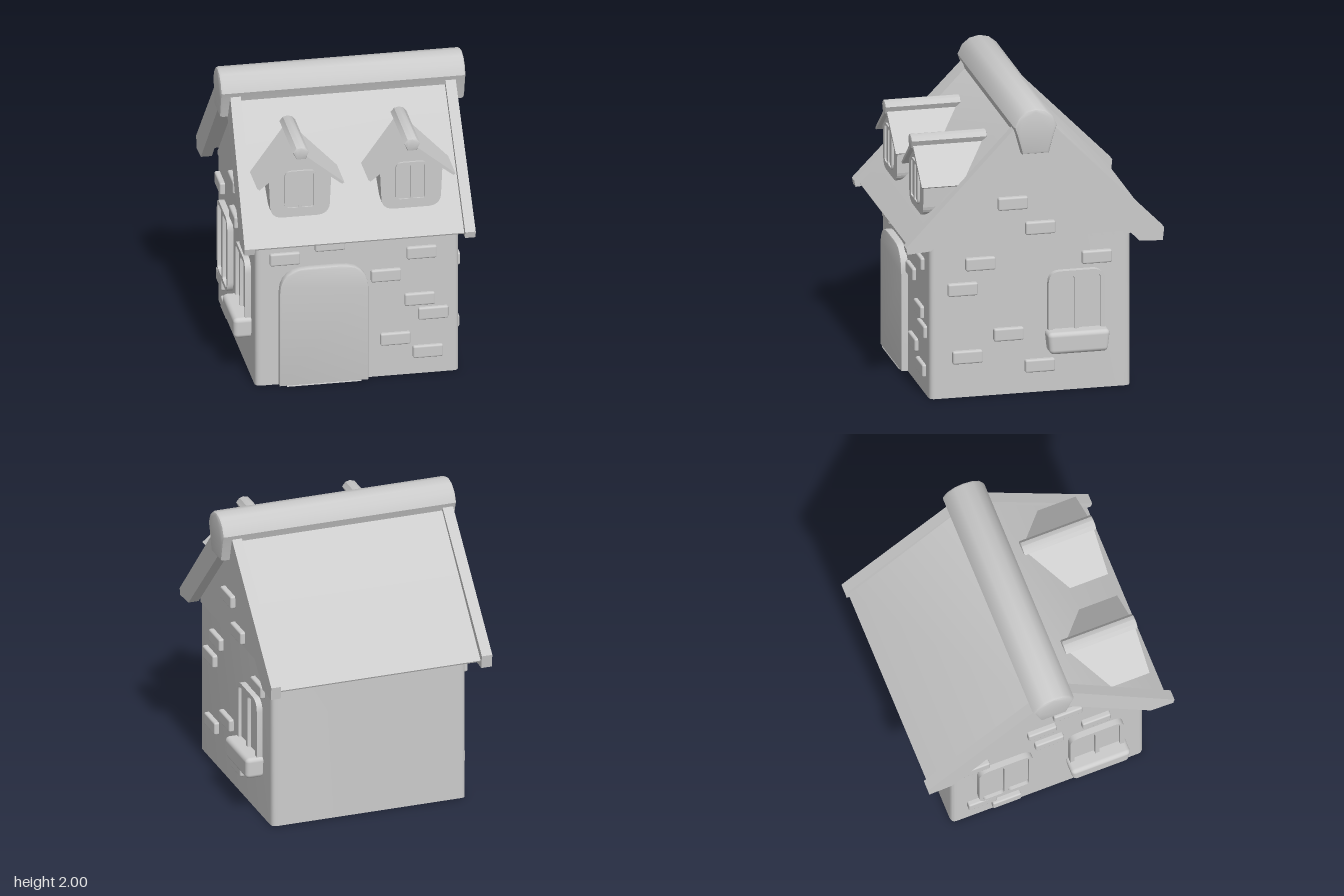
import * as THREE from 'three';
import { toCreasedNormals } from 'three/addons/utils/BufferGeometryUtils.js';
import { RoundedBoxGeometry } from 'three/addons/geometries/RoundedBoxGeometry.js';

const material = new THREE.MeshStandardMaterial({ color: 0xcccccc, side: THREE.DoubleSide });

function mesh(name, geometry, parent) {
  const m = new THREE.Mesh(geometry, material);
  m.name = name;
  parent.add(m);
  return m;
}

const polygon = (pts) => new THREE.Shape(pts.map(([x, y]) => new THREE.Vector2(x, y)));

// Extrusion of a shape towards +z, starting at z0, with an optional soft edge that stays inside the outline
function slab(shape, z0, z1, bevel = 0) {
  const g = new THREE.ExtrudeGeometry(shape, {
    depth: z1 - z0 - 2 * bevel, curveSegments: 6, bevelEnabled: bevel > 0,
    bevelSize: bevel, bevelThickness: bevel, bevelOffset: -bevel, bevelSegments: 2,
  });
  g.translate(0, 0, z0 + bevel);
  return toCreasedNormals(g, 0.6);
}

// Profile given as [z, y], extruded along x
function slabX(pts, x0, x1, bevel = 0) {
  const g = slab(polygon(pts.map(([z, y]) => [-z, y])), x0, x1, bevel);
  return g.rotateY(Math.PI / 2);
}

function roundedRect(x0, y0, x1, y1, r, Type = THREE.Shape) {
  const s = new Type();
  s.moveTo(x0 + r, y0);
  s.lineTo(x1 - r, y0).quadraticCurveTo(x1, y0, x1, y0 + r);
  s.lineTo(x1, y1 - r).quadraticCurveTo(x1, y1, x1 - r, y1);
  s.lineTo(x0 + r, y1).quadraticCurveTo(x0, y1, x0, y1 - r);
  s.lineTo(x0, y0 + r).quadraticCurveTo(x0, y0, x0 + r, y0);
  return s;
}

// Two-pane window facing +z, centred on its width, standing on y = 0
function makeWindow(w, h, frame, depth) {
  const g = new THREE.Group();
  g.name = 'window';
  const r = w * 0.22;
  const outline = roundedRect(-w / 2, 0, w / 2, h, r);
  for (const s of [-1, 1]) {
    const a = s * frame / 2, b = s * (w / 2 - frame);
    outline.holes.push(roundedRect(Math.min(a, b), frame, Math.max(a, b), h - frame, frame, THREE.Path));
  }
  mesh('windowFrame', slab(outline, 0, depth), g);
  const pane = roundedRect(-w / 2 + 0.01, 0.01, w / 2 - 0.01, h - 0.01, r);
  mesh('windowPane', slab(pane, 0, depth * 0.45), g);
  return g;
}

function arch(cx, half, top, y0, Type = THREE.Shape) {
  const s = new Type(), spring = top - 0.17;
  s.moveTo(cx - half, y0);
  s.lineTo(cx + half, y0);
  s.lineTo(cx + half, spring);
  s.bezierCurveTo(cx + half, top - 0.05, cx + half * 0.75, top, cx + half * 0.35, top);
  s.lineTo(cx - half * 0.35, top);
  s.bezierCurveTo(cx - half * 0.75, top, cx - half, top - 0.05, cx - half, spring);
  s.lineTo(cx - half, y0);
  return s;
}

// Depth of the front roof surface at height y
const roofZ = (y) => 0.83 - (y - 1.06) / 1.085;

function makeDormer() {
  const g = new THREE.Group();
  g.name = 'dormer';
  // Body: its back end follows the slope of the roof
  const s = new THREE.Shape();
  s.moveTo(-0.12, 1.22);
  s.lineTo(0.12, 1.22).quadraticCurveTo(0.19, 1.225, 0.198, 1.29);
  s.lineTo(0.208, 1.5).lineTo(0, 1.67).lineTo(-0.208, 1.5).lineTo(-0.198, 1.29);
  s.quadraticCurveTo(-0.19, 1.225, -0.12, 1.22);
  const body = slab(s, 0, 0.705);
  const p = body.attributes.position;
  for (let i = 0; i < p.count; i++) if (p.getZ(i) < 0.3) p.setZ(i, roofZ(p.getY(i)) - 0.02);
  body.computeVertexNormals();
  mesh('dormerBody', body, g);

  // Roof sides, cut along the main roof
  for (const side of [-1, 1]) {
    const roof = slab(polygon([[0, 1.66], [side * 0.275, 1.445], [side * 0.29, 1.455], [0, 1.695]]), 0, 0.735);
    const q = roof.attributes.position;
    for (let i = 0; i < q.count; i++) if (q.getZ(i) < 0.3) q.setZ(i, roofZ(q.getY(i)) - 0.01);
    roof.computeVertexNormals();
    mesh('dormerRoof', roof, g);
  }
  const ridge = [[-0.03, 1.65], [0.03, 1.65], [0.053, 1.7], [0.03, 1.728], [0, 1.736], [-0.03, 1.728], [-0.053, 1.7]];
  mesh('dormerRidge', slab(polygon(ridge), 0.24, 0.748, 0.008), g);

  const win = makeWindow(0.21, 0.28, 0.016, 0.02);
  win.position.set(0, 1.275, 0.7);
  g.add(win);
  return g;
}

export function createModel() {
  const house = new THREE.Group();
  house.name = 'house';

  // Walls: hollow, open below, with rounded corners
  const ring = roundedRect(-0.69, -0.69, 0.665, 0.66, 0.04);
  ring.holes.push(roundedRect(-0.675, -0.675, 0.65, 0.645, 0.035, THREE.Path));
  mesh('walls', slab(ring, 0.005, 1.07).rotateX(-Math.PI / 2), house);
  const gable = [[-0.66, 1.05], [0.69, 1.05], [0.69, 1.09], [0.02, 1.77], [-0.66, 1.08]];
  mesh('gable', slabX(gable, 0.65, 0.665), house);
  mesh('gable', slabX(gable, -0.69, -0.675), house);

  // Roof slopes
  mesh('frontRoof', slabX([[0, 1.9], [0.01, 1.8], [0.75, 1.055], [0.825, 1.055], [0.83, 1.065], [0.1, 1.85]], -0.74, 0.7), house);
  mesh('backRoof', slabX([[0.01, 1.9], [0, 1.8], [-0.75, 1.055], [-0.84, 1.05], [-0.845, 1.06], [-0.1, 1.85]], -0.74, 0.7), house);

  // Bargeboards on both gables; the front left one leans outwards
  const frontBoard = [[0.02, 1.98], [0.868, 1.085], [0.858, 1.04], [0.7, 1.052], [0.02, 1.75]];
  const backBoard = [[0.0, 1.98], [-0.868, 1.1], [-0.858, 1.012], [-0.7, 1.022], [0.0, 1.75]];
  mesh('bargeboard', slabX(frontBoard, 0.675, 0.745), house);
  mesh('bargeboard', slabX(backBoard, 0.678, 0.747), house);
  mesh('bargeboard', slabX(backBoard, -0.795, -0.722), house);
  const leaning = slabX(frontBoard, -0.755, -0.685);
  const lp = leaning.attributes.position;
  for (let i = 0; i < lp.count; i++) lp.setX(i, lp.getX(i) - 0.05 * (1.85 - lp.getY(i)));
  leaning.computeVertexNormals();
  mesh('bargeboard', leaning, house);

  // Ridge cap
  const cap = [[-0.08, 1.69], [0.1, 1.69], [0.135, 1.82], [0.155, 1.88], [0.125, 1.945], [0.075, 1.985], [0.01, 2],
    [-0.055, 1.985], [-0.105, 1.945], [-0.135, 1.88], [-0.115, 1.82]];
  mesh('ridgeCap', slabX(cap, -0.82, 0.812, 0.02), house);

  // Dormers
  for (const x of [-0.395, 0.345]) {
    const d = makeDormer();
    d.position.x = x;
    house.add(d);
  }

  // Door and arched surround
  const surround = arch(-0.24, 0.295, 0.848, 0.01);
  surround.holes.push(arch(-0.24, 0.243, 0.797, 0.01, THREE.Path));
  mesh('doorSurround', slab(surround, 0.68, 0.738, 0.006), house);
  mesh('door', slab(arch(-0.24, 0.232, 0.785, 0.015), 0.68, 0.703), house);

  // Side windows: [side, z, has a flower box]
  for (const [side, z, box] of [[1, -0.29, true], [-1, 0.35, true], [-1, -0.29, false]]) {
    const wallX = side > 0 ? 0.663 : -0.688;
    const g = new THREE.Group();
    g.name = 'sideWindow';
    g.add(makeWindow(0.38, 0.535, 0.03, 0.042));
    if (box) {
      // Box narrows towards its rounded bottom
      const geo = new RoundedBoxGeometry(0.42, 0.15, 0.14, 3, 0.03);
      const p = geo.attributes.position;
      for (let i = 0; i < p.count; i++) {
        const k = 1 - 0.5 * (0.075 - p.getY(i));
        p.setX(i, p.getX(i) * k);
        p.setZ(i, p.getZ(i) * k);
      }
      mesh('flowerBox', geo, g).position.set(0, 0.06, 0.052);
    }
    g.position.set(wallX, 0.3, z);
    g.rotation.y = side * Math.PI / 2;
    house.add(g);
  }

  // Raised bricks
  const brick = new RoundedBoxGeometry(0.2, 0.087, 0.06, 2, 0.012);
  const front = [[-0.495, 0.915], [-0.195, 0.995], [0.415, 0.887], [0.178, 0.74], [0.402, 0.55], [0.492, 0.442], [0.24, 0.275], [0.457, 0.167]];
  const left = [[0.135, 1.32], [-0.05, 1.14], [0.353, 0.92], [-0.43, 0.912], [0.472, 0.752], [0.163, 0.422], [0.44, 0.285], [-0.047, 0.192]];
  const right = [[-0.5, 0.92], [-0.45, 0.25], [-0.28, 0.12], [-0.03, 1.15], [0.15, 1.33], [0.35, 1.0], [0.02, 0.92]];
  for (const [x, y] of front) mesh('brick', brick, house).position.set(x, y, 0.685);
  for (const [side, list] of [[0.668, left], [-0.695, right]]) {
    for (const [z, y] of list) {
      const b = mesh('brick', brick, house);
      b.position.set(side, y, z);
      b.rotation.y = Math.PI / 2;
    }
  }
  return house;
}
